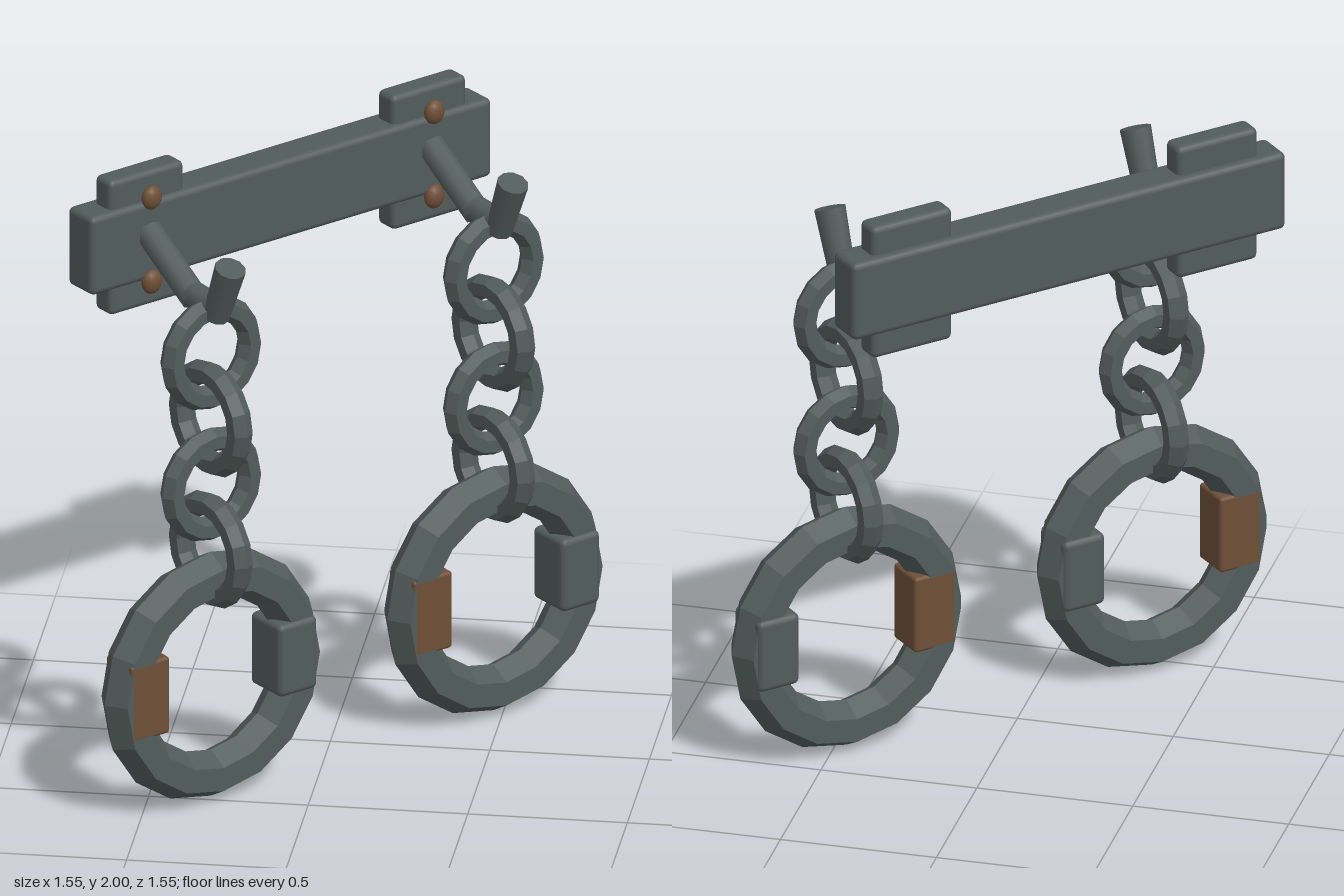
import * as THREE from 'three';
import { RoundedBoxGeometry } from 'three/addons/geometries/RoundedBoxGeometry.js';

const iron = new THREE.MeshStandardMaterial({ color: 0x515c5a, flatShading: true });
iron.name = 'dark iron';
const ironSmooth = iron.clone();
ironSmooth.flatShading = false;
const rust = new THREE.MeshStandardMaterial({ color: 0x6e4e37 });
rust.name = 'rusty brown';

function add(parent, name, geometry, material, x = 0, y = 0, z = 0) {
  const mesh = new THREE.Mesh(geometry, material);
  mesh.name = name;
  mesh.position.set(x, y, z);
  parent.add(mesh);
  return mesh;
}

const block = (w, h, d, bevel = 0.02) => new RoundedBoxGeometry(w, h, d, 2, bevel);

// Round bar between two points in the (y, z) plane
function rod(parent, name, [y0, z0], [y1, z1], r0, r1) {
  const dir = new THREE.Vector3(0, y1 - y0, z1 - z0);
  const geo = new THREE.CylinderGeometry(r1, r0, dir.length(), 10);
  const mesh = add(parent, name, geo, ironSmooth, 0, (y0 + y1) / 2, (z0 + z1) / 2);
  mesh.quaternion.setFromUnitVectors(new THREE.Vector3(0, 1, 0), dir.normalize());
}

// Bracket, hook, chain and cuff hanging at one end of the bar
function createShackle() {
  const g = new THREE.Group();
  const chainZ = 0.112;

  add(g, 'bracket', block(0.29, 0.455, 0.085), ironSmooth, 0, 1.7725, -0.255);
  for (const y of [1.92, 1.635]) {
    const rivet = add(g, 'rivet', new THREE.SphereGeometry(0.04, 12, 8), rust, 0, y, -0.192);
    rivet.scale.set(0.9, 1, 0.6);
  }

  // Hook: slopes down, runs under the first link, turns up
  rod(g, 'hookArm', [1.8, -0.21], [1.655, 0.03], 0.045, 0.045);
  rod(g, 'hookSeat', [1.667, 0], [1.66, 0.15], 0.043, 0.043);
  rod(g, 'hookTip', [1.635, 0.14], [1.82, 0.213], 0.043, 0.05);

  // Chain links, alternately turned a quarter
  const linkGeo = new THREE.TorusGeometry(0.15, 0.04, 6, 16);
  for (let i = 0; i < 4; i++) {
    const link = add(g, 'chainLink', linkGeo, iron, 0, 1.5 - i * 0.222, chainZ);
    link.rotation.y = (i % 2) * Math.PI / 2;
  }

  // Cuff ring with lock box and hinge block
  add(g, 'cuffRing', new THREE.TorusGeometry(0.335, 0.078, 6, 16), iron, 0, 0.413, chainZ);
  add(g, 'lockBox', block(0.15, 0.245, 0.16), ironSmooth, 0.285, 0.42, chainZ);
  add(g, 'hingeBlock', block(0.15, 0.26, 0.136, 0.012), rust, -0.283, 0.42, chainZ);
  return g;
}

export function createModel() {
  const model = new THREE.Group();
  model.name = 'wallShackles';
  const body = new THREE.Group();
  body.name = 'turnedAssembly';
  body.rotation.y = Math.PI / 4;
  model.add(body);

  add(body, 'wallBar', block(1.56, 0.265, 0.13), ironSmooth, 0, 1.7725, -0.26);
  for (const [side, name] of [[-1, 'rightShackle'], [1, 'leftShackle']]) {
    const shackle = createShackle();
    shackle.name = name;
    shackle.position.x = side * 0.55;
    body.add(shackle);
  }
  return model;
}
